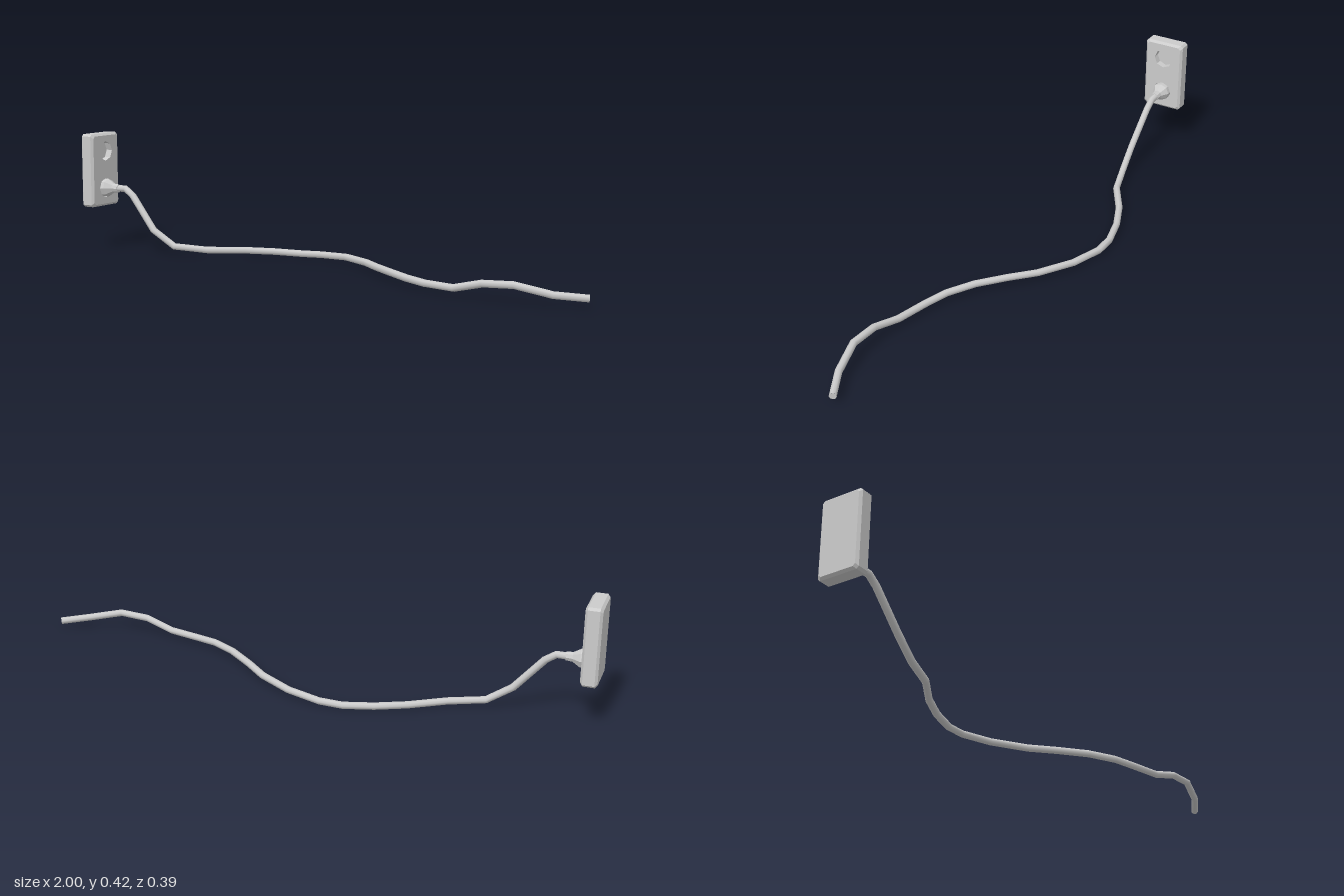
import * as THREE from 'three';

const smooth = new THREE.MeshStandardMaterial({ color: 0xcccccc });
const flat = new THREE.MeshStandardMaterial({ color: 0xcccccc, flatShading: true });
const inside = new THREE.MeshStandardMaterial({ color: 0xcccccc, flatShading: true, side: THREE.BackSide });

const W = 0.075, H = 0.134, D = 0.055, BEVEL = 0.008;
const HOLE_R = 0.036, HOLE_DEPTH = 0.025, HOLES = [0.069, -0.067];
const CABLE_R = 0.0125;

function add(parent, name, geometry, material) {
  const mesh = new THREE.Mesh(geometry, material);
  mesh.name = name;
  parent.add(mesh);
  return mesh;
}

// Rectangle with clipped corners, counter-clockwise
function outline(inset) {
  const w = W - inset, h = H - inset, c = BEVEL;
  return [[w, -h + c], [w, h - c], [w - c, h], [-w + c, h], [-w, h - c], [-w, -h + c], [-w + c, -h], [w - c, -h]]
    .map(([x, y]) => new THREE.Vector2(x, y));
}

// Octagon around a hole centre
function octagon(cy) {
  return Array.from({ length: 8 }, (_, i) => {
    const a = (i * Math.PI) / 4;
    return new THREE.Vector2(HOLE_R * Math.cos(a), cy + HOLE_R * Math.sin(a));
  });
}

// Chamfered side walls lofted through outline loops
function wallGeometry() {
  const loops = [[BEVEL, 0], [0, BEVEL], [0, D - BEVEL], [BEVEL, D]];
  const positions = [], index = [];
  for (const [inset, z] of loops) for (const p of outline(inset)) positions.push(p.x, p.y, z);
  for (let k = 0; k < loops.length - 1; k++) {
    for (let i = 0; i < 8; i++) {
      const a = k * 8 + i, b = k * 8 + ((i + 1) % 8);
      index.push(a, b, b + 8, a, b + 8, a + 8);
    }
  }
  const g = new THREE.BufferGeometry();
  g.setAttribute('position', new THREE.Float32BufferAttribute(positions, 3));
  g.setIndex(index);
  g.computeVertexNormals();
  return g;
}

// Wall plate, built facing +z
function buildPlate() {
  const plate = new THREE.Group();
  plate.name = 'wallPlate';
  add(plate, 'plateWalls', wallGeometry(), flat);
  const back = new THREE.ShapeGeometry(new THREE.Shape(outline(BEVEL)));
  add(plate, 'plateBack', back.rotateY(Math.PI), flat);
  const face = new THREE.Shape(outline(BEVEL));
  face.holes = HOLES.map((y) => new THREE.Path(octagon(y)));
  add(plate, 'plateFace', new THREE.ShapeGeometry(face), flat).position.z = D;

  // Recessed sockets
  for (const y of HOLES) {
    const wall = new THREE.CylinderGeometry(HOLE_R, HOLE_R, HOLE_DEPTH, 8, 1, true).rotateX(Math.PI / 2);
    add(plate, 'socketWall', wall, inside).position.set(0, y, D - HOLE_DEPTH / 2);
    add(plate, 'socketFloor', new THREE.CircleGeometry(HOLE_R, 8), flat).position.set(0, y, D - HOLE_DEPTH);
  }

  // Tapered plug in the lower socket
  const profile = [[0, 0.03], [0.033, 0.03], [0.033, 0.066], [0.017, 0.092], [0.015, 0.115], [0, 0.115]]
    .map(([r, z]) => new THREE.Vector2(r, z));
  const plug = new THREE.LatheGeometry(profile, 8).rotateX(Math.PI / 2);
  add(plate, 'plug', plug, flat).position.y = HOLES[1];
  return plate;
}

// Straight segments between points, one tube ring per point
class Polyline extends THREE.Curve {
  constructor(points) {
    super();
    this.points = points;
  }
  getUtoTmapping(u) {
    return u;
  }
  getPoint(t, target = new THREE.Vector3()) {
    const n = this.points.length - 1;
    const i = Math.min(Math.floor(t * n + 1e-9), n - 1);
    return target.lerpVectors(this.points[i], this.points[i + 1], t * n - i);
  }
}

function buildCable() {
  const cable = new THREE.Group();
  cable.name = 'cable';
  const points = [
    [-0.91, 0.22, -0.005], [-0.855, 0.221, -0.007], [-0.82, 0.197, -0.006], [-0.72, 0.08, 0.003],
    [-0.635, 0.026, -0.008], [-0.515, 0.018, -0.045], [-0.4, 0.017, -0.117], [-0.3, 0.015, -0.16],
    [-0.2, 0.0127, -0.185], [-0.12, 0.016, -0.187], [0, 0.023, -0.156], [0.12, 0.026, -0.085],
    [0.2, 0.029, -0.015], [0.29, 0.032, 0.055], [0.38, 0.03, 0.109], [0.46, 0.026, 0.137],
    [0.575, 0.027, 0.163], [0.68, 0.054, 0.179], [0.785, 0.06, 0.18], [0.9, 0.037, 0.152], [0.995, 0.028, 0.102],
  ].map((p) => new THREE.Vector3(...p));
  const curve = new Polyline(points);
  add(cable, 'cord', new THREE.TubeGeometry(curve, points.length - 1, CABLE_R, 8), smooth);

  // Closed free end
  const cap = add(cable, 'cordEnd', new THREE.CircleGeometry(CABLE_R, 8), flat);
  const end = points[points.length - 1];
  cap.position.copy(end);
  cap.lookAt(end.clone().add(curve.getTangent(1)));
  return cable;
}

export function createModel() {
  const model = new THREE.Group();
  model.name = 'wallSocketWithCable';
  const plate = buildPlate();
  plate.rotation.y = Math.PI / 2;
  plate.position.set(-1, 0.287, -0.005);
  model.add(plate, buildCable());
  return model;
}
